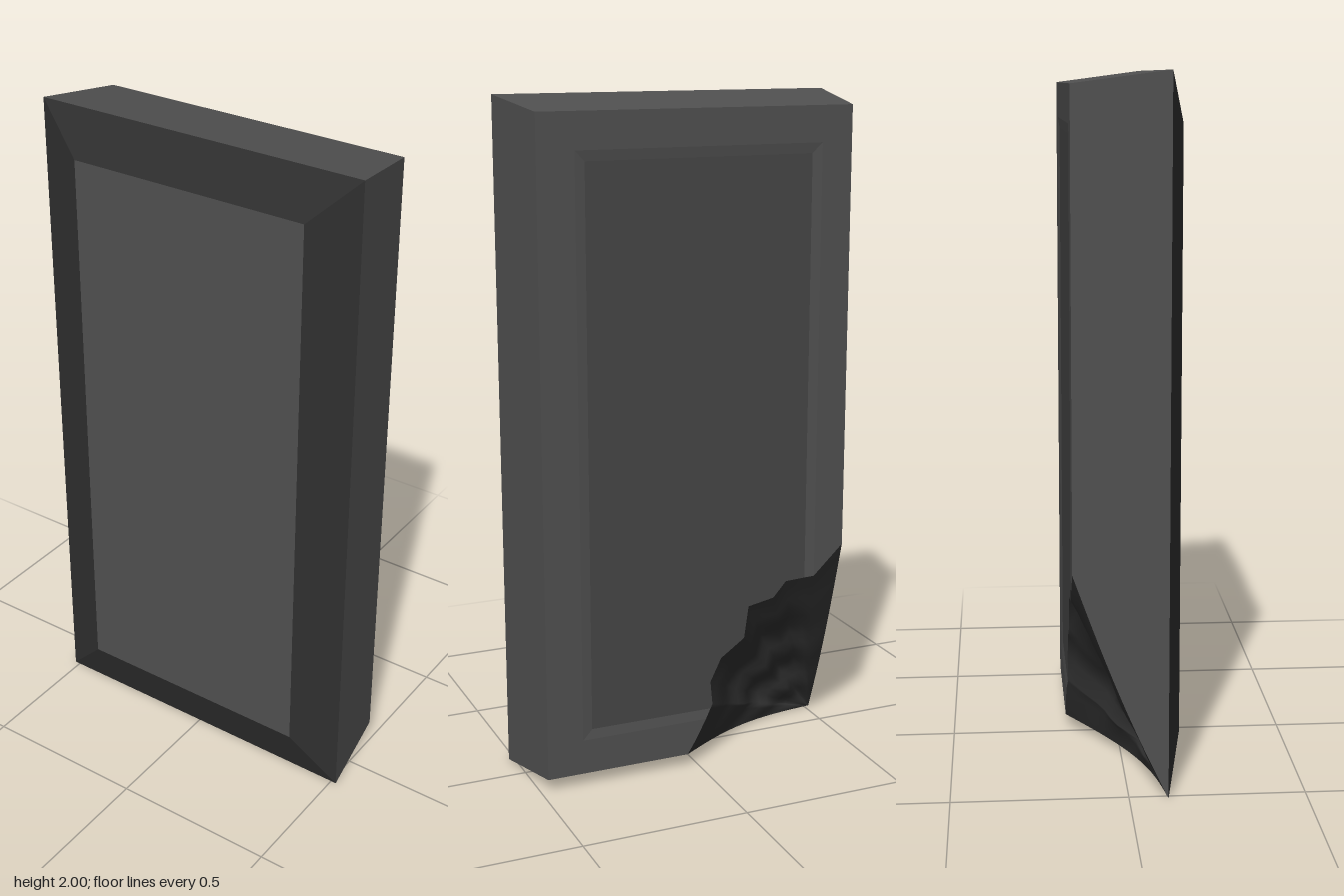
import * as THREE from 'three';

const Z_BACK = -0.155, Z_RIM = 0.11, Z_FRONT = 0.153, Z_PANEL = Z_BACK + 0.004;
const CENTRE = new THREE.Vector3(0, 1, 0);
const material = (color) => new THREE.MeshStandardMaterial({ color, side: THREE.DoubleSide });
const slabMat = material(0x505050), darkMat = material(0x303030), panelMat = material(0x464646);

// Flat polygon in space, triangulated across its widest plane and turned outwards
function polygon(name, pts, mat) {
  const v = pts.map((p) => new THREE.Vector3(...p));
  const n = new THREE.Vector3();
  v.forEach((a, i) => n.add(a.clone().cross(v[(i + 1) % v.length])));
  const s = n.toArray().map(Math.abs), drop = s.indexOf(Math.max(...s));
  const [a, b] = [0, 1, 2].filter((k) => k !== drop);
  const flat = pts.map((p) => new THREE.Vector2(p[a], p[b]));
  const faces = THREE.ShapeUtils.triangulateShape(flat, []);
  const [i, j, k] = faces[0];
  const normal = v[j].clone().sub(v[i]).cross(v[k].clone().sub(v[i]));
  const inward = normal.dot(v[i].clone().sub(CENTRE)) < 0;
  const geo = new THREE.BufferGeometry().setFromPoints(v);
  geo.setIndex(faces.flatMap((f) => (inward ? [f[0], f[2], f[1]] : f)));
  geo.computeVertexNormals();
  const mesh = new THREE.Mesh(geo, mat);
  mesh.name = name;
  return mesh;
}

const rect = (x0, x1, y0, y1, z) => [[x0, y0, z], [x1, y0, z], [x1, y1, z], [x0, y1, z]];

// Jagged line of the broken corner across the back, from the side edge to the bottom edge
const breakLine = [
  [-0.48, 0.643], [-0.385, 0.553], [-0.355, 0.55], [-0.292, 0.547], [-0.25, 0.5], [-0.167, 0.484],
  [-0.153, 0.385], [-0.077, 0.332], [-0.042, 0.261], [-0.049, 0.187], [-0.0425, 0.175],
  [-0.026, 0.145], [0.007, 0.083], [0.034, 0.04],
].map(([x, y], i) => [x, y, i > 1 && i < 11 ? Z_PANEL : Z_BACK]);
const LAST = breakLine.length - 1;
const TIP = [-0.517, 0, Z_RIM];
const RINGS = 16;

// Point on the rough break: i runs along the jagged line, t runs from the back to the front tip
function breakPoint(i, t) {
  const u = i / LAST, arch = Math.sin(Math.PI * t);
  let [x, y, z] = breakLine[i].map((c, k) => c + (TIP[k] - c) * t);
  const lump = Math.sin(Math.PI * u) * (0.02 + 0.025 * Math.sin(11 * u + 8 * t) * Math.cos(13 * t - 6 * u));
  const dz = arch * (0.06 * u + lump);
  y -= dz * u * 0.04 / (Z_RIM - Z_BACK) + 0.03 * arch * (1 - u);
  return [x, y, Math.min(z + dz, Z_RIM)];
}

function brokenCorner() {
  const pos = [], index = [], w = LAST + 1;
  for (let r = 0; r <= RINGS; r++)
    for (let i = 0; i <= LAST; i++) pos.push(...breakPoint(i, r / RINGS));
  for (let r = 0; r < RINGS; r++)
    for (let i = 0; i < LAST; i++) {
      const a = r * w + i, b = a + 1, c = a + w, d = c + 1;
      index.push(a, b, c, b, d, c);
    }
  const geo = new THREE.BufferGeometry();
  geo.setAttribute('position', new THREE.Float32BufferAttribute(pos, 3));
  geo.setIndex(index);
  // Face the missing corner: back, down and to the right
  const v = (k) => new THREE.Vector3().fromArray(pos, k * 3);
  const m = 6 * w + 6;
  const n = v(m + 1).sub(v(m)).cross(v(m + w).sub(v(m)));
  if (n.dot(new THREE.Vector3(-1, -1, -1)) < 0) geo.setIndex(index.slice().reverse());
  geo.computeVertexNormals();
  const mesh = new THREE.Mesh(geo, darkMat);
  mesh.name = 'brokenCorner';
  return mesh;
}

export function createModel() {
  const group = new THREE.Group();
  group.name = 'chippedSlab';
  const back = rect(-0.48, 0.48, 0.04, 1.965, Z_BACK);
  const rim = rect(-0.517, 0.517, 0, 2, Z_RIM);
  const front = rect(-0.38, 0.37, 0.145, 1.86, Z_FRONT);

  // Front panel and the sloped border around it
  group.add(polygon('frontPanel', front, slabMat));
  ['bottom', 'left', 'top', 'right'].forEach((side, i) => {
    const j = (i + 1) % 4;
    group.add(polygon(side + 'Bevel', [rim[i], rim[j], front[j], front[i]], darkMat));
  });

  // Tapered sides; the bottom and right ones end along the break
  const edge = (i) => Array.from({ length: RINGS + 1 }, (_, r) => breakPoint(i, 1 - r / RINGS));
  group.add(polygon('leftSide', [rim[1], rim[2], back[2], back[1]], slabMat));
  group.add(polygon('topSide', [rim[2], rim[3], back[3], back[2]], slabMat));
  group.add(polygon('rightSide', [back[3], rim[3], ...edge(0)], slabMat));
  group.add(polygon('bottomSide', [back[1], rim[1], ...edge(LAST)], slabMat));

  // Back border, shallow step and sunken panel
  const outer = [breakLine[1], ...[[-0.385, 1.86], [0.37, 1.86], [0.37, 0.145]].map((p) => [...p, Z_BACK]), breakLine[11]];
  const inner = [breakLine[2], ...[[-0.355, 1.83], [0.34, 1.83], [0.34, 0.175]].map((p) => [...p, Z_PANEL]), breakLine[10]];
  group.add(polygon('backBorder',
    [breakLine[0], back[3], back[2], back[1], breakLine[13], breakLine[12], ...outer.slice().reverse()], slabMat));
  for (let i = 0; i < 4; i++)
    group.add(polygon('backStep', [outer[i], outer[i + 1], inner[i + 1], inner[i]], slabMat));
  group.add(polygon('backPanel', [...inner, ...breakLine.slice(3, 10).reverse()], panelMat));

  group.add(brokenCorner());
  return group;
}
